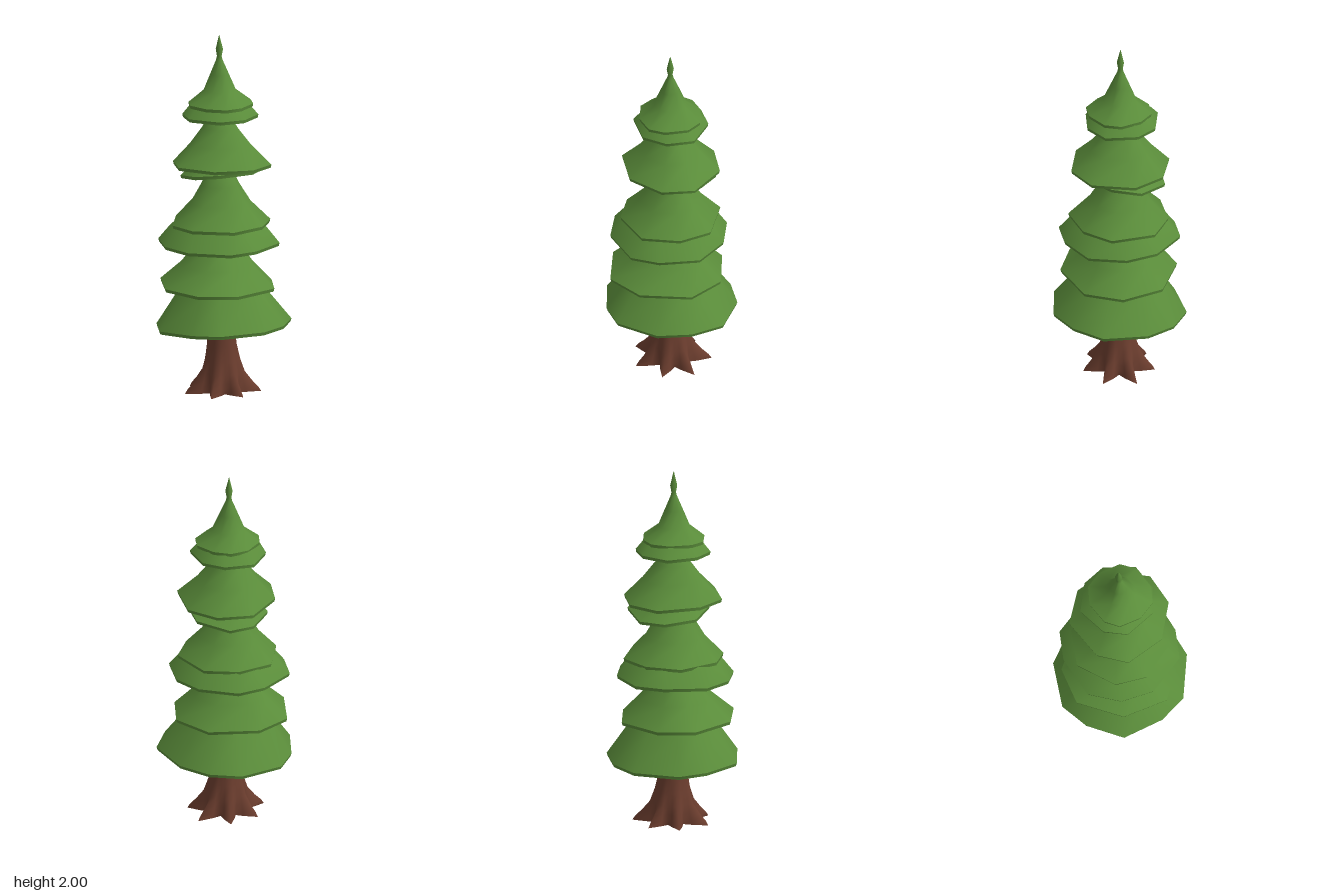
import * as THREE from 'three';

const leafGreen = new THREE.MeshStandardMaterial({ color: 0x5a8c3a });
leafGreen.name = 'leafGreen';
const barkBrown = new THREE.MeshStandardMaterial({ color: 0x6b3d2e });
barkBrown.name = 'barkBrown';

// Skins groups of rings (bottom to top); groups share no vertices, so creases stay between them.
function loft(groups, capBottom = false) {
  const pos = [], index = [];
  for (const rings of groups) {
    const start = pos.length / 3, n = rings[0].length;
    rings.forEach(ring => ring.forEach(p => pos.push(...p)));
    for (let r = 0; r < rings.length - 1; r++) {
      for (let i = 0; i < n; i++) {
        const a = start + r * n + i, b = start + r * n + (i + 1) % n;
        index.push(a, a + n, b, b, a + n, b + n);
      }
    }
  }
  if (capBottom) {
    const ring = groups[0][0], start = pos.length / 3;
    ring.forEach(p => pos.push(...p));
    pos.push(0, ring[0][1], 0);
    ring.forEach((p, i) => index.push(start + i, start + (i + 1) % ring.length, start + ring.length));
  }
  const geo = new THREE.BufferGeometry();
  geo.setAttribute('position', new THREE.Float32BufferAttribute(pos, 3));
  geo.setIndex(index);
  geo.computeVertexNormals();
  return geo;
}

// One branch layer: a slightly uneven polygon rim that tapers to the stem, hollow underneath.
// turn is in degrees, centre and tilt are along [x, z], rings are [radius, y] above the rim.
function tierGeometry(sides, radius, y, turn, centre, tilt, rings) {
  const stem = [-0.01, -0.015];
  const ringAt = (r, height) => Array.from({ length: sides }, (_, i) => {
    const k = r / radius;
    const a = (turn + 360 * i / sides + 4 * Math.sin(i * 2.4 + turn)) * Math.PI / 180;
    const reach = r * (1 + 0.03 * k * Math.sin(i * 3.7 + turn));
    const x = THREE.MathUtils.lerp(stem[0], centre[0], k) + reach * Math.cos(a);
    const z = THREE.MathUtils.lerp(stem[1], centre[1], k) + reach * Math.sin(a);
    return [x, height + k * (tilt[0] * x + tilt[1] * z), z];
  });
  const edge = ringAt(radius, y);
  const lip = ringAt(radius * 0.985, y - 0.018);
  const under = rings.slice(0, 3).map(([r, h]) => ringAt(r * 0.95, h - 0.03)).reverse();
  return loft([
    [...under, lip],
    [lip, edge],
    [edge, ...rings.map(([r, h]) => ringAt(r, h))],
  ]);
}

// Trunk flares at the base into pointed roots; profile is [y, root radius, valley radius].
function trunkGeometry() {
  const roots = 7, steps = roots * 4;
  const profile = [[0, 0.21, 0.095], [0.025, 0.195, 0.095], [0.06, 0.162, 0.1], [0.11, 0.124, 0.105],
    [0.18, 0.1, 0.092], [0.27, 0.08, 0.08], [0.4, 0.075, 0.075], [0.9, 0.066, 0.066], [1.36, 0.054, 0.054]];
  return loft([profile.map(([y, peak, valley]) => Array.from({ length: steps }, (_, i) => {
    const a = Math.PI / 2 + i / steps * Math.PI * 2;
    const r = valley + (peak - valley) * [1, 0.35, 0, 0.35][i % 4] * (1 + 0.1 * Math.cos(2 * a));
    return [r * Math.cos(a) - 0.012 * y, y, r * Math.sin(a)];
  }))], true);
}

export function createModel() {
  const tree = new THREE.Group();
  tree.name = 'pineTree';

  const trunk = new THREE.Mesh(trunkGeometry(), barkBrown);
  trunk.name = 'trunk';
  tree.add(trunk);

  const foliage = new THREE.Group();
  foliage.name = 'foliage';
  tree.add(foliage);
  const addTier = (name, ...shape) => {
    const mesh = new THREE.Mesh(tierGeometry(...shape), leafGreen);
    mesh.name = name;
    foliage.add(mesh);
  };

  // Branch layers from the ground up
  addTier('lowestBranches', 11, 0.372, 0.38, -8, [0, 0], [0.01, 0.05],
    [[0.25, 0.55], [0.14, 0.67], [0.08, 0.75]]);
  addTier('secondBranches', 8, 0.325, 0.6, 9, [-0.03, -0.01], [-0.02, 0],
    [[0.21, 0.71], [0.125, 0.82], [0.07, 0.9]]);
  addTier('thirdBranches', 10, 0.328, 0.845, 10, [-0.015, -0.01], [0.01, -0.01],
    [[0.26, 0.93], [0.15, 1.02], [0.07, 1.08]]);
  addTier('fourthBranches', 8, 0.275, 0.95, 20, [-0.01, -0.01], [0, 0.01],
    [[0.17, 1.06], [0.11, 1.16], [0.08, 1.22], [0.045, 1.26]]);
  addTier('fifthBranches', 8, 0.222, 1.23, -12, [0.015, -0.03], [0, 0.16],
    [[0.15, 1.28], [0.1, 1.33], [0.06, 1.38]]);
  addTier('sixthBranches', 8, 0.275, 1.285, -1, [0, -0.005], [-0.02, 0.02],
    [[0.17, 1.39], [0.1, 1.48], [0.065, 1.54], [0.04, 1.57]]);
  addTier('seventhBranches', 8, 0.208, 1.555, -8, [-0.005, -0.02], [0, 0],
    [[0.17, 1.6], [0.1, 1.66], [0.045, 1.71]]);
  addTier('treeTop', 10, 0.178, 1.62, 9, [-0.007, -0.005], [0, 0],
    [[0.09, 1.69], [0.052, 1.78], [0.018, 1.86], [0.013, 1.88], [0.02, 1.92], [0.001, 2]]);

  return tree;
}
